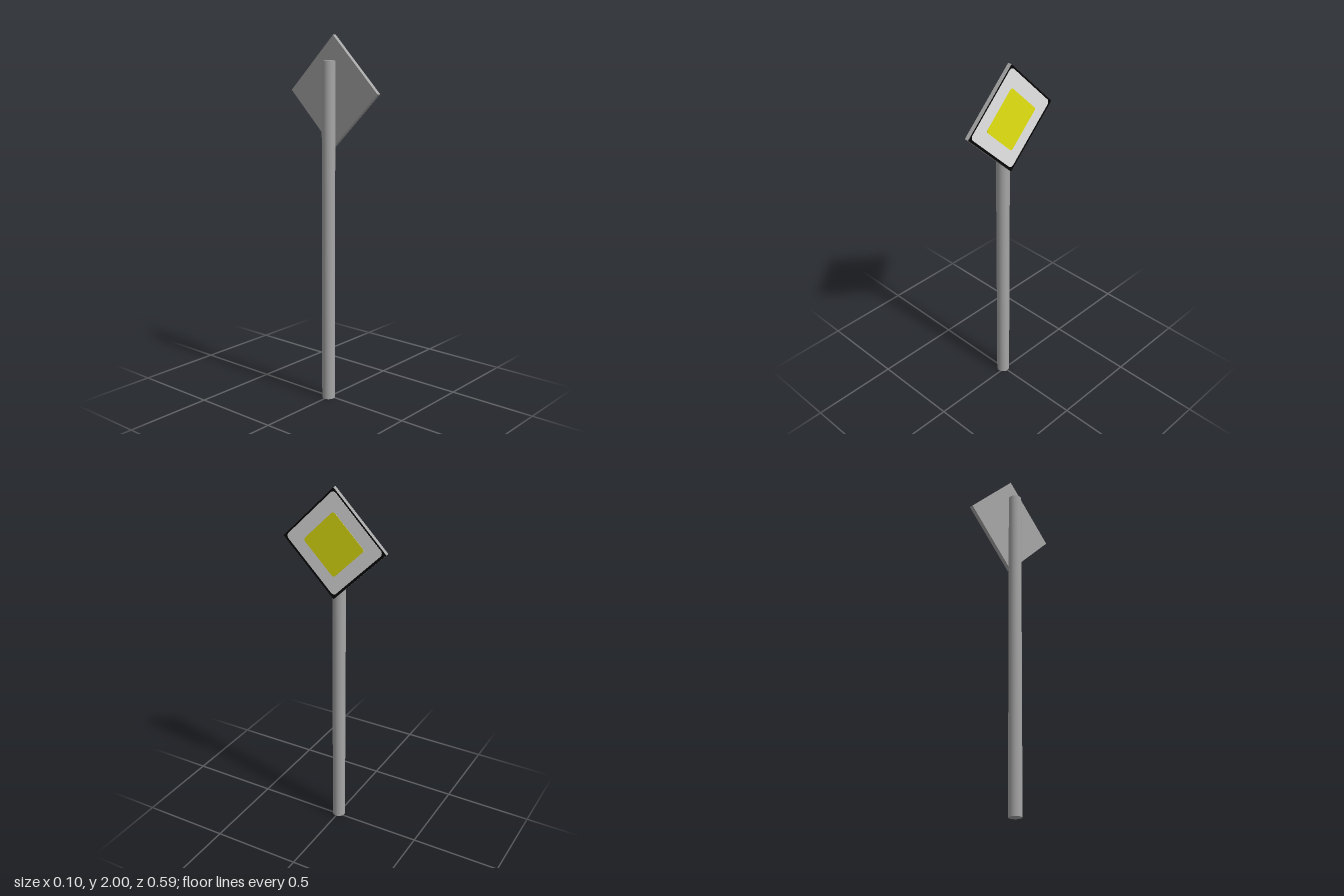
import * as THREE from 'three';

const mat = (name, color) => {
  const m = new THREE.MeshStandardMaterial({ color });
  m.name = name;
  return m;
};

// Thin rounded square plate facing +x
function roundedPlate(name, half, radius, depth, material) {
  const s = new THREE.Shape();
  const k = half - radius;
  s.absarc(k, k, radius, 0, Math.PI / 2);
  s.absarc(-k, k, radius, Math.PI / 2, Math.PI);
  s.absarc(-k, -k, radius, Math.PI, Math.PI * 1.5);
  s.absarc(k, -k, radius, Math.PI * 1.5, Math.PI * 2);
  const geo = new THREE.ExtrudeGeometry(s, { depth, bevelEnabled: false, curveSegments: 6 });
  geo.rotateY(Math.PI / 2);
  const mesh = new THREE.Mesh(geo, material);
  mesh.name = name;
  return mesh;
}

export function createModel() {
  const grey = mat('grey metal', 0xa6a6a6);
  const black = mat('black border', 0x050505);
  const white = mat('white', 0xe7e7e7);
  const yellow = mat('yellow', 0xe6e612);

  const model = new THREE.Group();
  model.name = 'roadSign';

  // Pole
  const pole = new THREE.Mesh(new THREE.CylinderGeometry(0.036, 0.036, 1.87, 32), grey);
  pole.name = 'pole';
  pole.position.set(-0.012, 0.935, 0);
  model.add(pole);

  // Square sign standing on its corner, in front of the pole on the +x side
  const sign = new THREE.Group();
  sign.name = 'sign';
  sign.position.set(0.035, 1.705, 0);
  sign.rotation.x = Math.PI / 4;
  model.add(sign);

  // Panel with a black face
  const panel = new THREE.Mesh(
    new THREE.BoxGeometry(0.023, 0.418, 0.418),
    [black, grey, grey, grey, grey, grey]
  );
  panel.name = 'panel';
  sign.add(panel);

  // Painted fields
  const whiteField = roundedPlate('whiteField', 0.198, 0.022, 0.001, white);
  whiteField.position.set(0.0115, 0.002, -0.002);
  const yellowField = roundedPlate('yellowField', 0.124, 0.014, 0.002, yellow);
  yellowField.position.x = 0.0115;
  sign.add(whiteField, yellowField);

  return model;
}
